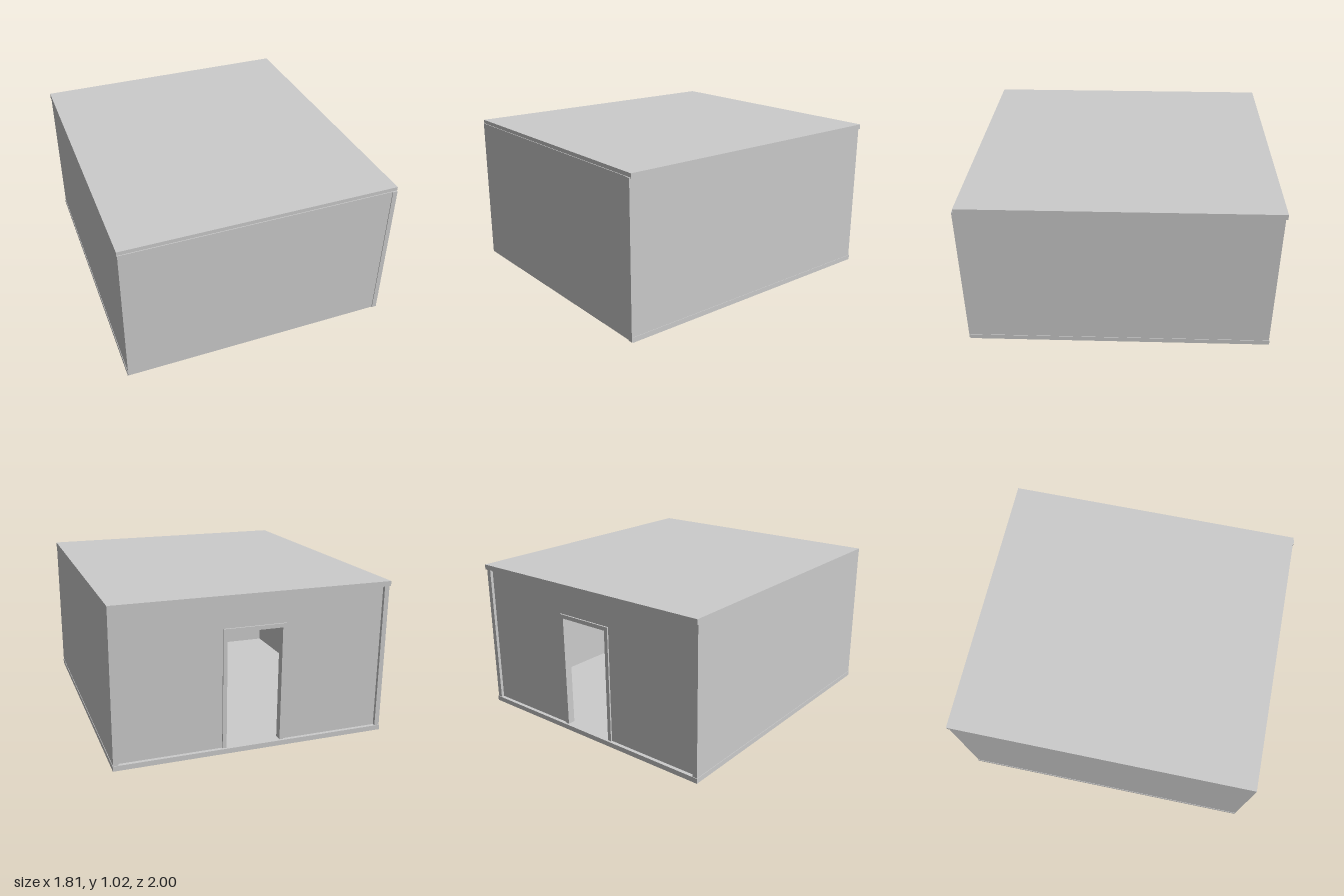
import * as THREE from 'three';

const material = new THREE.MeshStandardMaterial({ color: 0xcccccc, flatShading: true });

// Box given by its limits along each axis
function slab(name, [x0, x1], [y0, y1], [z0, z1]) {
  const mesh = new THREE.Mesh(new THREE.BoxGeometry(x1 - x0, y1 - y0, z1 - z0), material);
  mesh.position.set((x0 + x1) / 2, (y0 + y1) / 2, (z0 + z1) / 2);
  mesh.name = name;
  return mesh;
}

// Upright panel with a doorway cut up from its lower edge
function doorPanel(name, halfWidth, top, doorHalf, doorTop, bottom, z0, z1) {
  const shape = new THREE.Shape([
    [-halfWidth, bottom], [-doorHalf, bottom], [-doorHalf, doorTop], [doorHalf, doorTop],
    [doorHalf, bottom], [halfWidth, bottom], [halfWidth, top], [-halfWidth, top],
  ].map(([x, y]) => new THREE.Vector2(x, y)));
  const geometry = new THREE.ExtrudeGeometry(shape, { depth: z1 - z0, bevelEnabled: false });
  const mesh = new THREE.Mesh(geometry, material);
  mesh.position.z = z0;
  mesh.name = name;
  return mesh;
}

export function createModel() {
  const room = new THREE.Group();
  room.name = 'room';

  const floorTop = 0.033, ceiling = 0.987;
  const inner = 0.868, outer = 0.9;

  // Floor and roof slabs, a hair wider than the walls
  room.add(slab('floor', [-0.903, 0.903], [0, floorTop], [-0.992, 0.993]));
  room.add(slab('roof', [-0.903, 0.903], [ceiling, 1.02], [-1, 0.99]));

  // Closed front wall, overlapping the slab edges
  room.add(slab('frontWall', [-outer, outer], [0.002, 0.995], [0.962, 0.995]));

  // Side walls with posts at the doorway end
  for (const [side, s] of [['left', 1], ['right', -1]]) {
    const span = [inner * s, outer * s].sort((a, b) => a - b);
    room.add(slab(side + 'Wall', span, [floorTop, ceiling], [-0.96, 0.965]));
    room.add(slab(side + 'Post', span, [floorTop, ceiling], [-0.988, -0.96]));
  }
  // Projecting end strip at the left front corner
  room.add(slab('cornerStrip', [0.868, 0.9], [0.002, 0.995], [0.96, 1]));

  // Recessed back wall with a doorway, and its raised frame
  room.add(doorPanel('backWall', inner, ceiling, 0.19, 0.79, floorTop, -0.968, -0.938));
  room.add(doorPanel('doorFrame', 0.206, 0.808, 0.18, 0.782, floorTop, -0.978, -0.928));

  return room;
}
